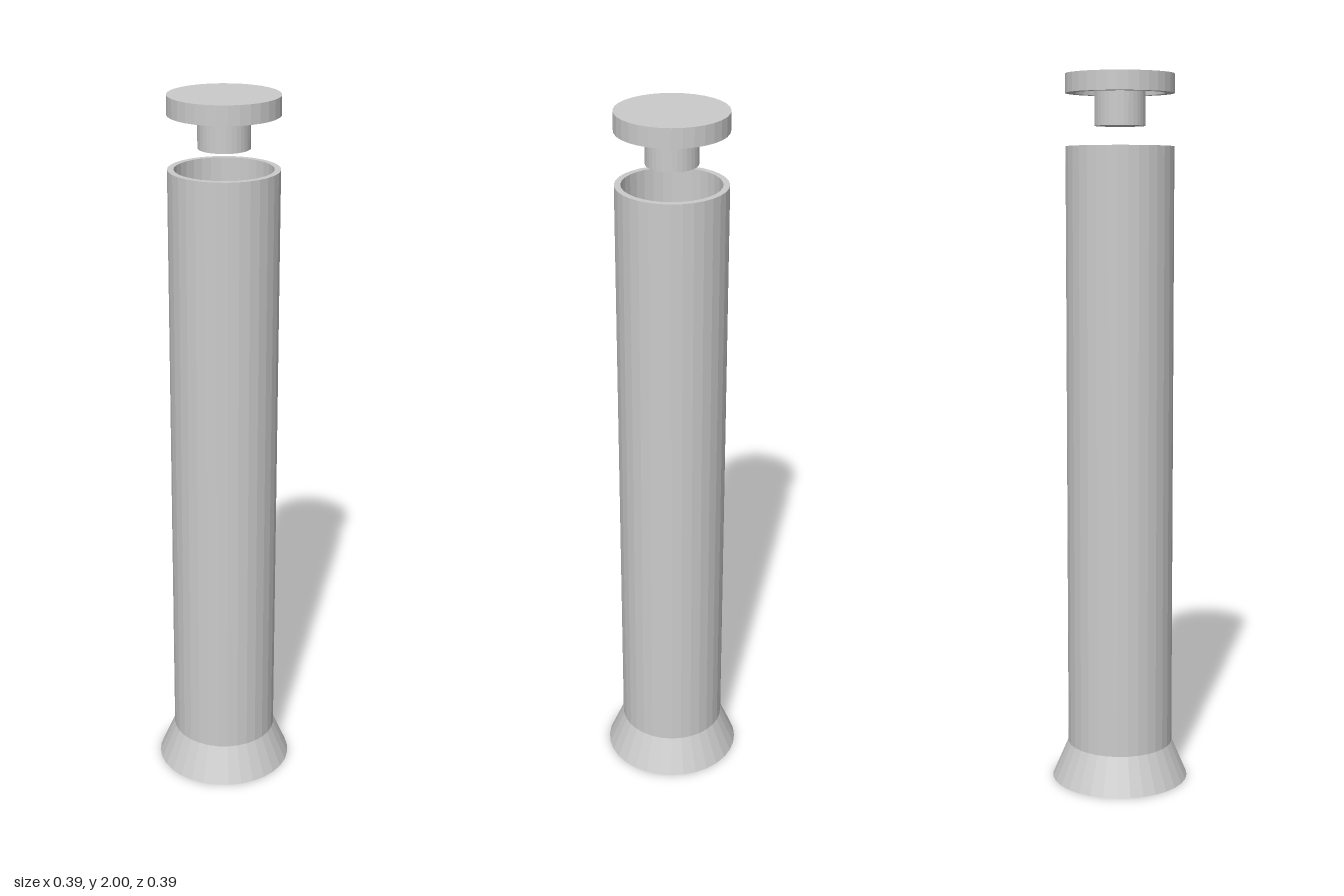
import * as THREE from 'three';

const SEGMENTS = 32;

// Closed faceted solid of revolution; profile runs up the outside, then back down the inside
function turned(name, profile) {
  const points = profile.map(([r, y]) => new THREE.Vector2(r, y));
  const material = new THREE.MeshStandardMaterial({ color: 0xcccccc, flatShading: true, side: THREE.DoubleSide });
  const mesh = new THREE.Mesh(new THREE.LatheGeometry(points, SEGMENTS), material);
  mesh.name = name;
  return mesh;
}

export function createModel() {
  const model = new THREE.Group();
  model.name = 'cappedTube';

  // Tube with flared foot, wide mouth, inner ledge and narrower bore
  model.add(turned('tube', [
    [0, 0], [0.195, 0], [0.15, 0.105], [0.15, 1.805],
    [0.133, 1.805], [0.133, 1.7], [0.095, 1.7], [0.095, 0.1], [0, 0.1],
  ]));

  // Floating cap: plug stem, recessed underside, rim and flat top
  model.add(turned('cap', [
    [0, 1.86], [0.07, 1.86], [0.07, 1.975], [0.125, 1.975],
    [0.125, 1.948], [0.15, 1.948], [0.15, 2], [0, 2],
  ]));

  return model;
}
